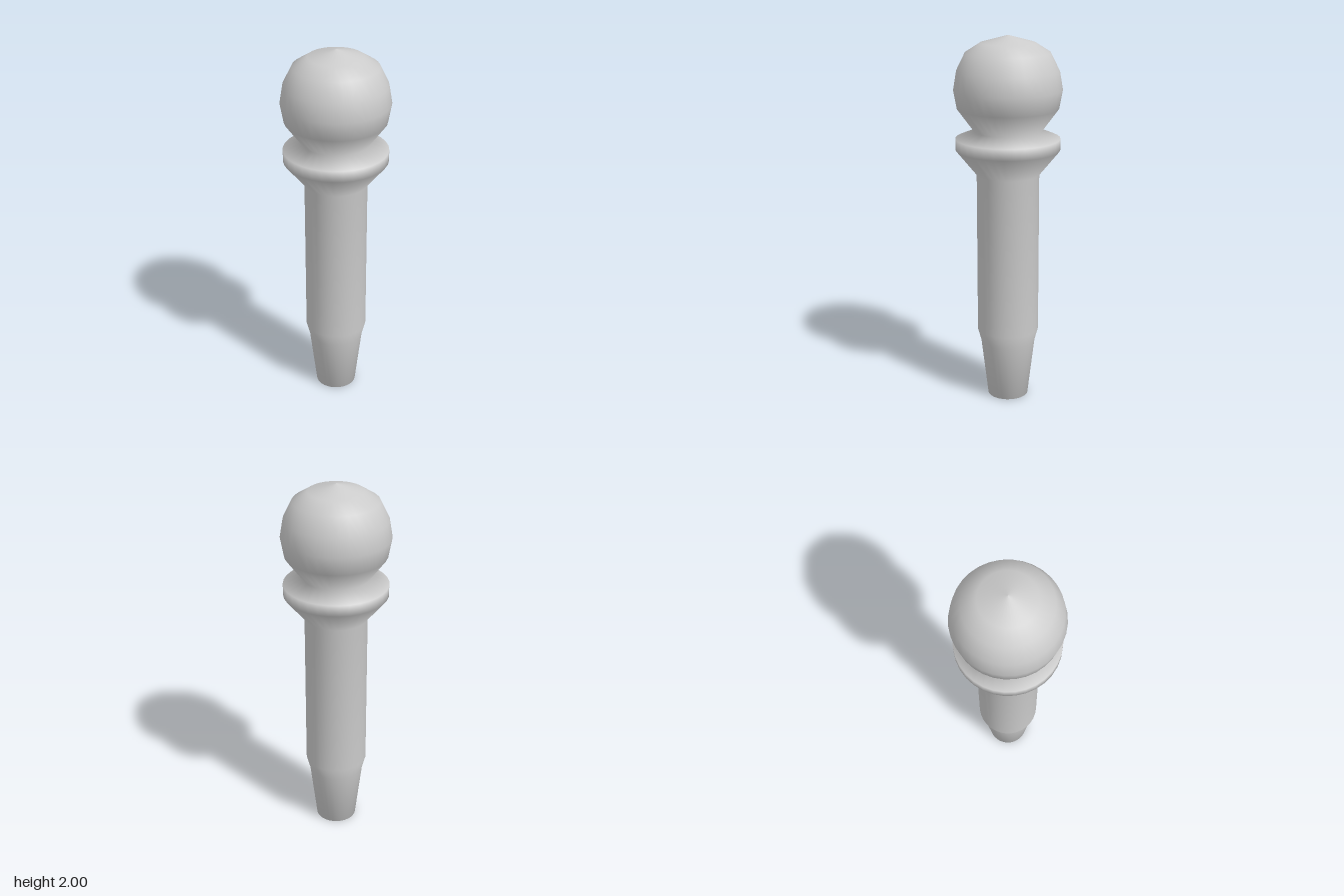
import * as THREE from 'three';

export function createModel() {
  const group = new THREE.Group();
  group.name = 'peg';

  // Turned profile as [radius, height], from the foot up
  const profile = [
    [0, 0], [0.11, 0], [0.148, 0.32], [0.167, 0.39],        // tapered foot
    [0.167, 1.265],                                         // straight shaft
    [0.277, 1.4], [0.277, 1.46], [0.18, 1.5],               // flared collar and neck
    [0.268, 1.62], [0.286, 1.72], [0.27, 1.815],            // round head
    [0.223, 1.91], [0.145, 1.96], [0, 2],
  ].map(([r, y]) => new THREE.Vector2(r, y));

  // One continuous turning keeps the shading smooth from foot to head
  const body = new THREE.Mesh(
    new THREE.LatheGeometry(profile, 32),
    new THREE.MeshStandardMaterial({ color: 0xcccccc }),
  );
  body.name = 'turnedBody';
  group.add(body);

  return group;
}
